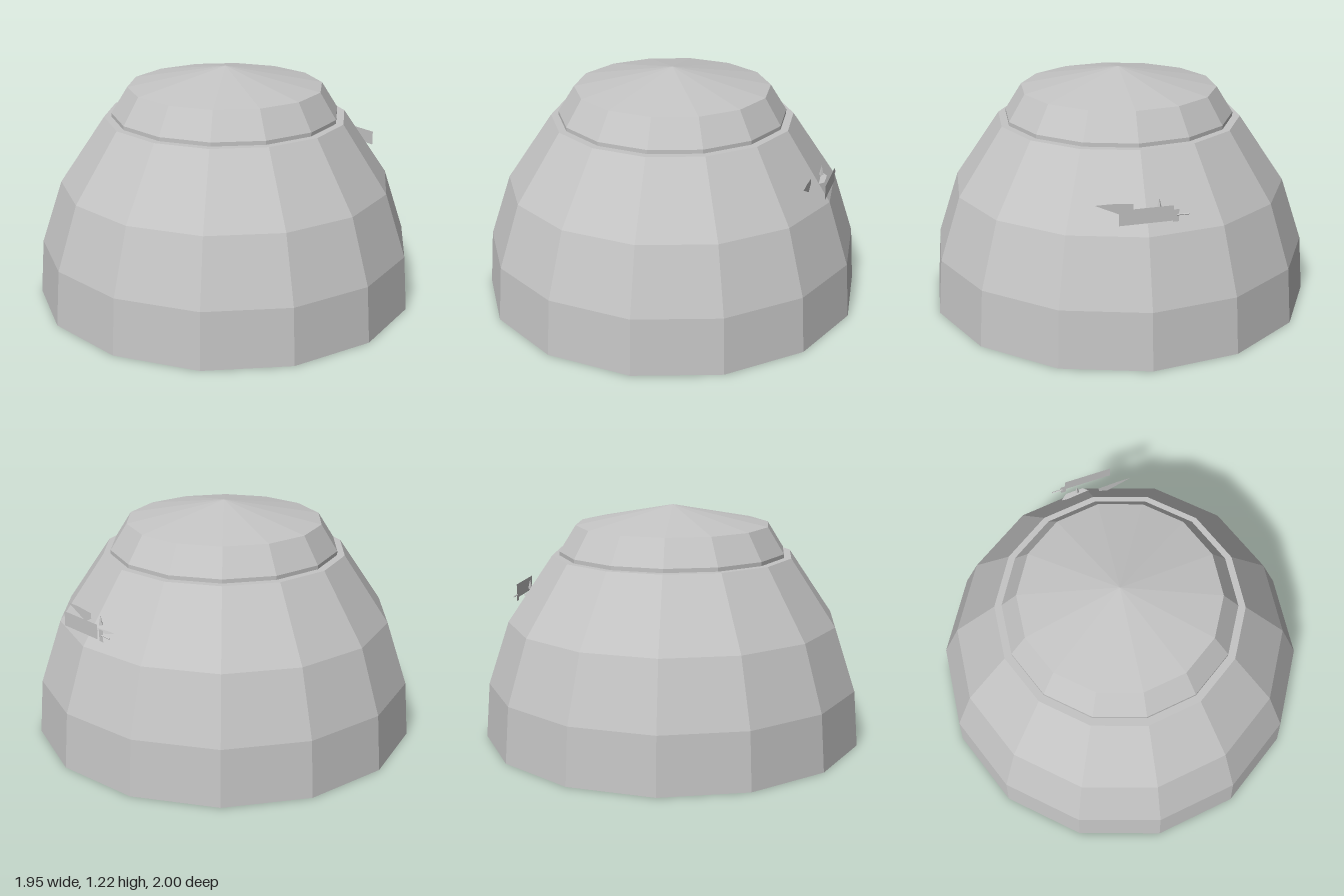
import * as THREE from 'three';

const SIDES = 14;

export function createModel() {
  const model = new THREE.Group();
  const grey = new THREE.MeshStandardMaterial({ color: 0xc4c4c4, flatShading: true, side: THREE.DoubleSide });
  grey.name = 'light grey';

  const add = (parent, name, geometry) => {
    const mesh = new THREE.Mesh(geometry, grey);
    mesh.name = name;
    parent.add(mesh);
    return mesh;
  };
  const lathe = (points) =>
    new THREE.LatheGeometry(points.map(([r, y]) => new THREE.Vector2(r, y)), SIDES);
  const flat = (points) =>
    new THREE.ShapeGeometry(new THREE.Shape(points.map(([x, y]) => new THREE.Vector2(x, y))));

  // Hollow faceted dome, open below, with a narrow ledge round its top
  add(model, 'domeShell', lathe([[1, 0], [0.977, 0.29], [0.867, 0.62], [0.632, 0.965], [0.59, 0.965]]));

  // Neck reaching down inside the dome, with the sloped cap above
  add(model, 'neck', lathe([[0.593, 0.54], [0.593, 0.985]]));
  add(model, 'cap', lathe([[0.593, 0.985], [0.508, 1.12], [0, 1.22]]));

  // Small fitting of thin plates on the back left flank, facing outward along local z
  const fitting = new THREE.Group();
  fitting.name = 'sideFitting';
  fitting.rotation.y = Math.PI * 0.75;
  model.add(fitting);

  add(fitting, 'outerPlate', flat([[-0.24, 0.69], [0.02, 0.69], [0.02, 0.765], [-0.24, 0.765]]))
    .position.z = 0.86;
  add(fitting, 'pointedPlate', flat([[-0.33, 0.765], [-0.19, 0.70], [-0.145, 0.69], [-0.145, 0.755], [-0.25, 0.765]]))
    .position.z = 0.77;
  add(fitting, 'endPlate', flat([[0.02, 0.68], [0.05, 0.68], [0.05, 0.74], [0.02, 0.74]]))
    .position.z = 0.85;

  // Shelf lying flat against the dome
  const shelf = add(fitting, 'shelf',
    flat([[0.064, -0.79], [0.028, -0.82], [-0.067, -0.824], [-0.11, -0.788], [-0.07, -0.778]]));
  shelf.rotation.x = -Math.PI / 2;
  shelf.position.y = 0.71;

  // Rod and spike
  const rod = add(fitting, 'rod', new THREE.CylinderGeometry(0.004, 0.004, 0.06, 4));
  rod.rotation.z = Math.PI / 2;
  rod.position.set(0.07, 0.713, 0.85);
  add(fitting, 'spike', new THREE.ConeGeometry(0.012, 0.05, 4)).position.set(-0.03, 0.76, 0.8);

  return model;
}
